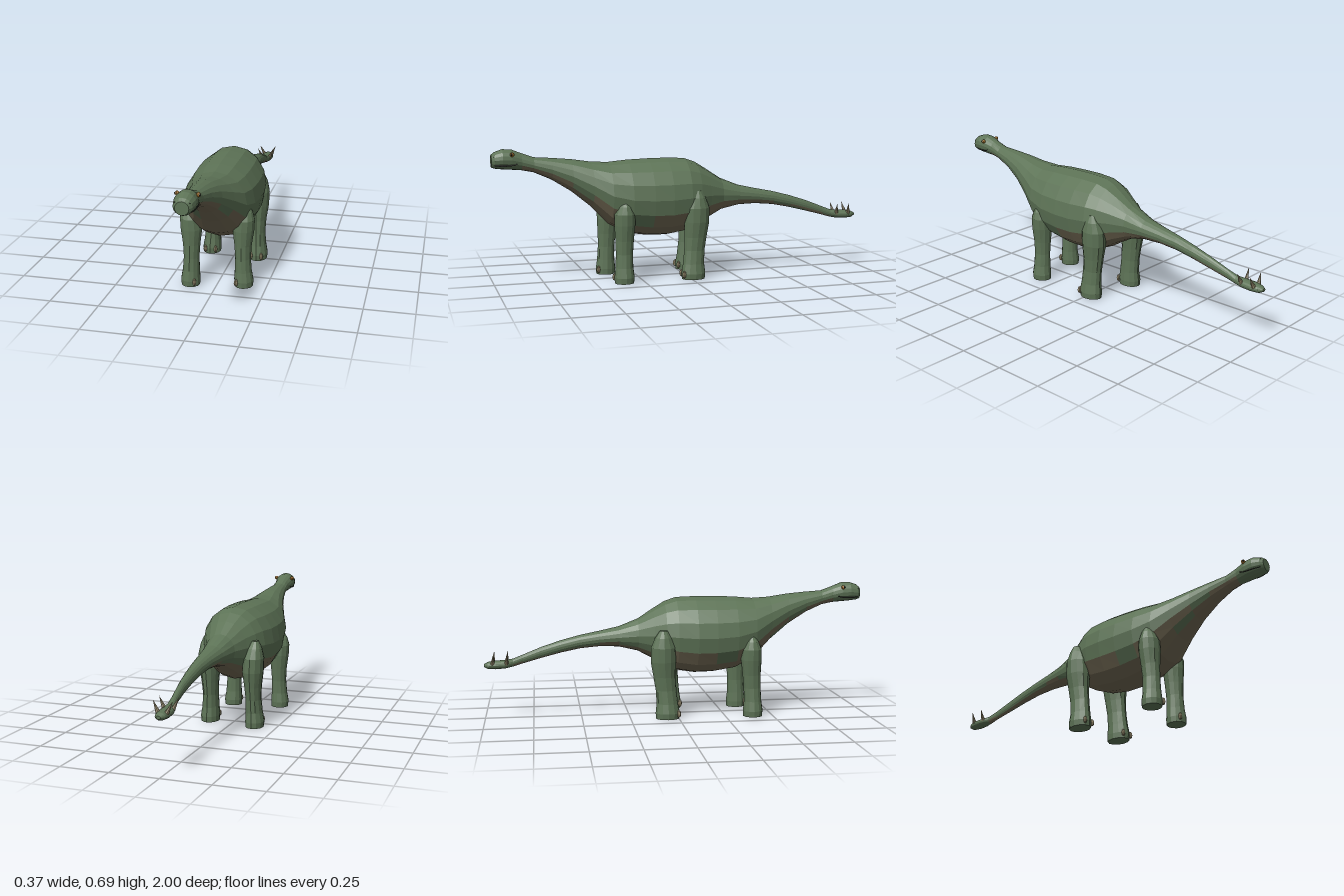
import * as THREE from 'three';

const GREEN = 0x5d7356, BELLY = 0x716853, CLAW = 0x8f8468, DARK = 0x23241f, AMBER = 0xa8742c;

const material = (color) =>
  new THREE.MeshStandardMaterial({ color, flatShading: true, roughness: 0.9 });

function addMesh(parent, name, geometry, color) {
  const mesh = new THREE.Mesh(geometry, material(color));
  mesh.name = name;
  parent.add(mesh);
  return mesh;
}

// Skins a row of rings; keep(i, j) chooses which quads belong to this surface
function skin(rings, caps, keep = () => true) {
  const out = [];
  const tri = (...pts) => pts.forEach((p) => out.push(p.x, p.y, p.z));
  const n = rings[0].length;
  for (let i = 0; i < rings.length - 1; i++) {
    for (let j = 0; j < n; j++) {
      if (!keep(i, j)) continue;
      const k = (j + 1) % n;
      const a = rings[i][j], b = rings[i][k], c = rings[i + 1][k], d = rings[i + 1][j];
      tri(a, b, c);
      tri(a, c, d);
    }
  }
  if (caps) {
    [rings[0], rings[rings.length - 1]].forEach((ring, end) => {
      const mid = ring.reduce((s, p) => s.add(p), new THREE.Vector3()).divideScalar(n);
      for (let j = 0; j < n; j++) {
        const p = ring[j], q = ring[(j + 1) % n];
        if (end) tri(mid, p, q); else tri(mid, q, p);
      }
    });
  }
  const geometry = new THREE.BufferGeometry();
  geometry.setAttribute('position', new THREE.Float32BufferAttribute(out, 3));
  geometry.computeVertexNormals();
  return geometry;
}

const ringOf = (n, point) =>
  Array.from({ length: n }, (_, j) => {
    const a = (j / n) * Math.PI * 2;
    return point(Math.sin(a), Math.cos(a));
  });

// Snout to tail: z, top y, bottom y, half width, sideways shift
const SPINE = [
  [1.0, 0.664, 0.600, 0.032, 0], [0.985, 0.676, 0.594, 0.045, 0],
  [0.945, 0.690, 0.589, 0.053, 0], [0.90, 0.688, 0.586, 0.051, 0],
  [0.85, 0.668, 0.582, 0.042, 0], [0.79, 0.646, 0.570, 0.044, 0],
  [0.70, 0.640, 0.530, 0.060, 0], [0.60, 0.631, 0.467, 0.085, 0],
  [0.50, 0.616, 0.385, 0.122, 0], [0.41, 0.611, 0.290, 0.160, 0],
  [0.31, 0.620, 0.237, 0.180, 0], [0.20, 0.624, 0.220, 0.187, 0],
  [0.10, 0.625, 0.218, 0.186, 0], [0.0, 0.621, 0.234, 0.172, 0.003],
  [-0.06, 0.600, 0.260, 0.150, 0.004], [-0.12, 0.563, 0.297, 0.118, 0.006],
  [-0.20, 0.510, 0.340, 0.080, 0.008], [-0.30, 0.470, 0.363, 0.060, 0.013],
  [-0.40, 0.448, 0.366, 0.045, 0.016], [-0.50, 0.428, 0.357, 0.034, 0.017],
  [-0.60, 0.402, 0.337, 0.027, 0.017], [-0.70, 0.370, 0.312, 0.020, 0.015],
  [-0.80, 0.331, 0.285, 0.016, 0.009], [-0.85, 0.312, 0.270, 0.020, 0.005],
  [-0.89, 0.306, 0.262, 0.031, 0], [-0.94, 0.304, 0.259, 0.034, 0],
  [-0.98, 0.298, 0.261, 0.026, 0], [-1.0, 0.287, 0.272, 0.011, 0],
];

// Leg profile: y, outer x, inner x, share of the depth
const LEG = [
  [0, 0.180, 0.085, 0.92], [0.03, 0.183, 0.083, 0.96], [0.08, 0.174, 0.086, 0.85],
  [0.15, 0.168, 0.088, 0.82], [0.22, 0.172, 0.083, 0.88], [0.30, 0.184, 0.073, 1],
  [0.37, 0.187, 0.078, 0.98], [0.42, 0.176, 0.098, 0.66], [0.455, 0.160, 0.125, 0.3],
];

function buildLeg(name, side, depth, footZ, hipZ, topScale, hind) {
  const leg = new THREE.Group();
  leg.name = name;
  const rings = LEG.map(([y, outer, inner, d]) => {
    const cx = (side * (outer + inner)) / 2, rx = (outer - inner) / 2;
    const cz = THREE.MathUtils.lerp(footZ, hipZ, THREE.MathUtils.smoothstep(y, 0.03, 0.33));
    const height = y > 0.3 ? 0.3 + (y - 0.3) * topScale : y;
    return ringOf(12, (s, c) => new THREE.Vector3(cx + rx * s, height, cz + depth * d * c));
  });
  addMesh(leg, 'legSkin', skin(rings, true), GREEN);
  // Claws on the front of the foot
  (hind ? [-0.6, 0.55] : [-0.6]).forEach((turn) => {
    const claw = addMesh(leg, 'claw', new THREE.SphereGeometry(1, 6, 4), CLAW);
    claw.scale.set(0.010, 0.02, 0.014);
    claw.position.set(
      side * (0.132 + 0.051 * Math.sin(turn)), 0.027, footZ + depth * 0.97 * Math.cos(turn));
    claw.rotation.y = side * turn;
  });
  return leg;
}

export function createModel() {
  const model = new THREE.Group();
  model.name = 'longNeckedDinosaur';

  // Body, neck, head and tail in one skin, with a ragged border to the belly
  const rings = SPINE.map(([z, top, bottom, w, x]) =>
    ringOf(16, (s, c) =>
      new THREE.Vector3(x + w * s, (top + bottom) / 2 + ((top - bottom) / 2) * c, z)));
  const isBelly = (i, j) => {
    if (i < 4 || i > 22) return false;
    const fromBottom = Math.abs(j + 0.5 - 8);
    const noise = Math.abs(Math.sin(i * 12.99 + j * 78.23) * 437.58) % 1;
    return fromBottom < 2 ? noise > 0.08 : fromBottom < 3 && noise > 0.4;
  };
  addMesh(model, 'back', skin(rings, true, (i, j) => !isBelly(i, j)), GREEN);
  addMesh(model, 'belly', skin(rings, false, isBelly), BELLY);

  // Legs, in mid stride
  model.add(
    buildLeg('frontLegLeft', 1, 0.055, 0.355, 0.350, 0.8, false),
    buildLeg('frontLegRight', -1, 0.055, 0.395, 0.385, 0.8, false),
    buildLeg('hindLegLeft', 1, 0.068, -0.015, -0.035, 1.05, true),
    buildLeg('hindLegRight', -1, 0.066, -0.058, -0.080, 1.05, true));

  for (const side of [-1, 1]) {
    // Eyes with dark pupils
    const eye = addMesh(model, 'eye', new THREE.SphereGeometry(0.011, 8, 6), AMBER);
    eye.position.set(side * 0.048, 0.665, 0.90);
    const pupil = addMesh(model, 'pupil', new THREE.SphereGeometry(0.006, 6, 5), DARK);
    pupil.position.set(side * 0.055, 0.666, 0.904);

    // Nostrils
    const nostril = addMesh(model, 'nostril', new THREE.SphereGeometry(0.003, 6, 4), DARK);
    nostril.position.set(side * 0.034, 0.655, 0.988);

    // Mouth line
    const lip = new THREE.CatmullRomCurve3([
      new THREE.Vector3(side * 0.033, 0.612, 0.987),
      new THREE.Vector3(side * 0.044, 0.609, 0.945),
      new THREE.Vector3(side * 0.044, 0.611, 0.90),
      new THREE.Vector3(side * 0.044, 0.617, 0.875),
    ]);
    addMesh(model, 'mouthLine', new THREE.TubeGeometry(lip, 8, 0.003, 4), DARK);

    // Tail spikes, leaning outward
    for (const z of [-0.885, -0.955]) {
      const cone = new THREE.ConeGeometry(0.012, 0.065, 7).translate(0, 0.0325, 0);
      const spike = addMesh(model, 'tailSpike', cone, CLAW);
      spike.position.set(side * 0.02, 0.288, z);
      spike.rotation.set(0.12, 0, -side * 0.45);
    }
  }
  return model;
}
